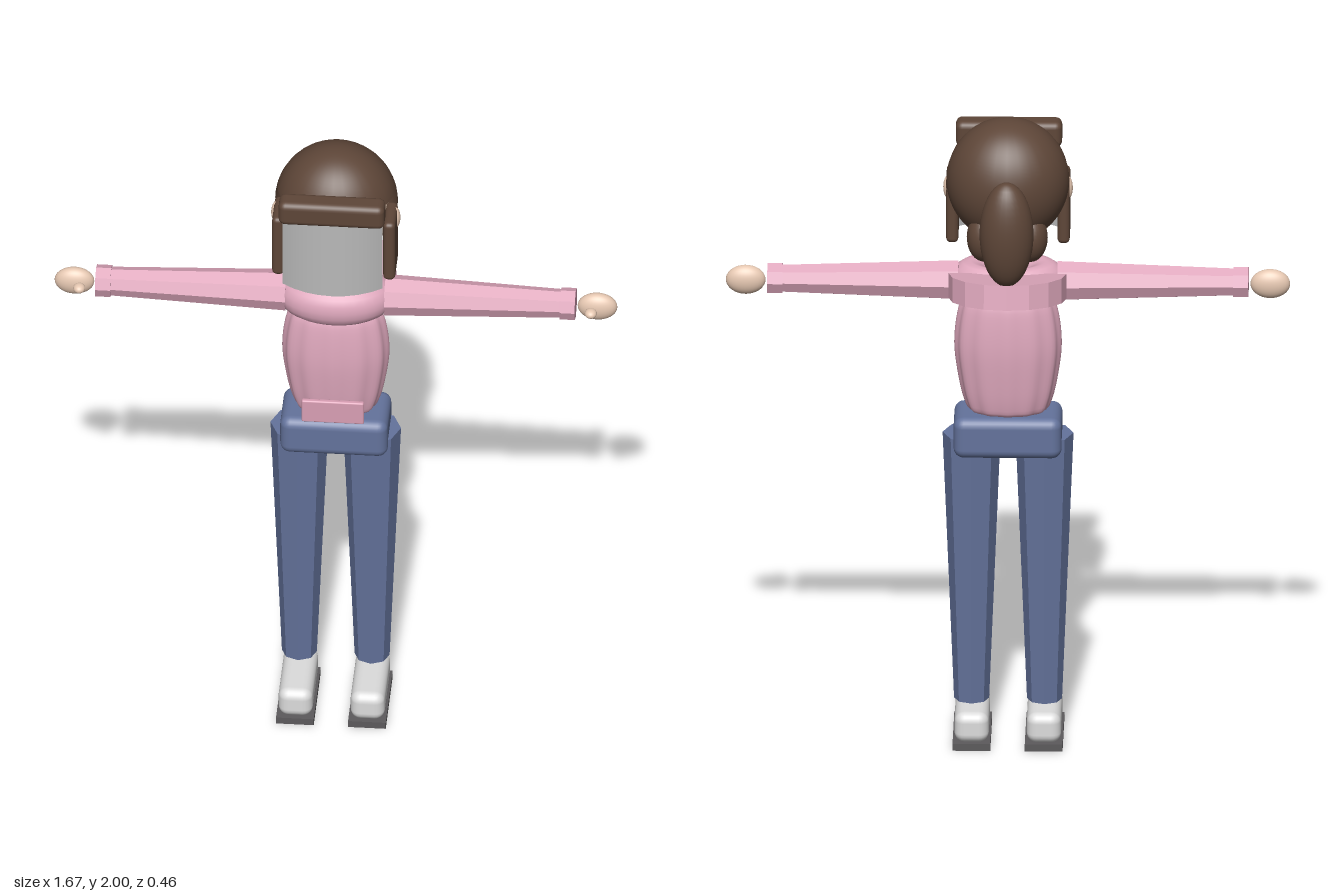
import * as THREE from 'three';
import { RoundedBoxGeometry } from 'three/addons/geometries/RoundedBoxGeometry.js';

export function createModel() {
  const model = new THREE.Group();
  model.name = 'figure';

  const material = (name, color, opts = {}) => {
    const m = new THREE.MeshStandardMaterial({ color, ...opts });
    m.name = name;
    return m;
  };
  const flat = { flatShading: true };
  const twoSided = { side: THREE.DoubleSide };
  const hair = material('brown hair', 0x5e4638, twoSided);
  const skin = material('skin', 0xe6c8b2);
  const grey = material('grey face', 0xb9b9b9, twoSided);
  const knit = material('pink knit', 0xe0a9be);
  const knitFlat = material('pink sleeve', 0xe0a9be, { ...flat, ...twoSided });
  const pocketPink = material('pocket pink', 0xd99fb4);
  const denim = material('denim', 0x64739c);
  const denimFlat = material('denim leg', 0x64739c, flat);
  const shoeWhite = material('shoe white', 0xdcdcdc);
  const soleGrey = material('sole grey', 0x5c5a5c);

  const add = (name, geo, mat, x, y, z) => {
    const mesh = new THREE.Mesh(geo, mat);
    mesh.name = name;
    mesh.position.set(x, y, z);
    model.add(mesh);
    return mesh;
  };
  const ellipsoid = (rx, ry, rz, ...arc) =>
    new THREE.SphereGeometry(1, 28, 20, ...arc).scale(rx, ry, rz);
  const rounded = (w, h, d, r) => new RoundedBoxGeometry(w, h, d, 3, r);

  // Head and neck
  add('head', ellipsoid(0.155, 0.187, 0.152), skin, 0, 1.785, 0.02);
  add('neck', new THREE.CylinderGeometry(0.045, 0.045, 0.16, 16), skin, 0, 1.55, 0.05);

  // Curved face plate
  add('facePlate', new THREE.CylinderGeometry(0.244, 0.244, 0.27, 8, 1, true, -0.652, 1.304),
    grey, 0, 1.735, -0.024);

  // Hair: crown, back, fringe and ponytail
  add('hairCrown', ellipsoid(0.182, 0.19, 0.163, 0, Math.PI * 2, 0, 1.3), hair, 0, 1.81, 0.025);
  add('hairBack', ellipsoid(0.182, 0.19, 0.163, Math.PI, Math.PI, 1.25, 1.07), hair, 0, 1.81, 0.025);
  add('fringe', rounded(0.315, 0.08, 0.07, 0.02), hair, 0, 1.895, 0.19);
  add('ponytail', ellipsoid(0.08, 0.165, 0.065), hair, 0, 1.71, -0.162);

  // Sweater body: oval barrel with soft vertical folds
  const profile = [[0.001, 1.06], [0.1, 1.062], [0.128, 1.1], [0.147, 1.19], [0.156, 1.28],
    [0.148, 1.37], [0.13, 1.425], [0.09, 1.44], [0.001, 1.44]]
    .map(([r, y]) => new THREE.Vector2(r, y));
  const torso = new THREE.LatheGeometry(new THREE.SplineCurve(profile).getPoints(32), 72);
  const pos = torso.attributes.position;
  for (let i = 0; i < pos.count; i++) {
    const k = 1 + 0.022 * Math.cos(12 * Math.atan2(pos.getX(i), pos.getZ(i)));
    pos.setXYZ(i, pos.getX(i) * k, pos.getY(i), pos.getZ(i) * k * 0.585);
  }
  torso.computeVertexNormals();
  add('torso', torso, knit, 0, 0, 0.048);
  add('pocket', rounded(0.185, 0.078, 0.016, 0.005), pocketPink, 0, 1.122, 0.158);

  // Collar roll and hood hanging behind
  add('collar', new THREE.TorusGeometry(0.112, 0.06, 16, 32).rotateX(Math.PI / 2).scale(1, 1, 0.62),
    knit, 0, 1.48, 0.05);
  const hood = add('hood',
    new THREE.CylinderGeometry(0.175, 0.175, 0.075, 8, 1, false, Math.PI / 2, Math.PI),
    knitFlat, 0, 1.488, -0.02);
  hood.rotation.x = 0.17;

  // Hips
  add('hips', rounded(0.32, 0.128, 0.185, 0.03), denim, 0, 1, 0.05);

  // Paired parts
  for (const [side, s] of [['left', 1], ['right', -1]]) {
    const put = (part, geo, mat, x, y, z) => add(side + part, geo, mat, s * x, y, z);
    put('Ear', ellipsoid(0.016, 0.037, 0.02), skin, 0.176, 1.775, 0.05);
    put('SideHair', rounded(0.036, 0.21, 0.12, 0.014), hair, 0.165, 1.71, 0.08);
    put('HairBun', ellipsoid(0.05, 0.075, 0.056), hair, 0.07, 1.66, -0.06);

    // Tapered sleeve, cuff, hand and thumb
    const tube = (outer, inner, length) =>
      new THREE.CylinderGeometry(outer, inner, length, 8).rotateZ(-s * Math.PI / 2);
    put('Sleeve', tube(0.042, 0.062, 0.55), knitFlat, 0.422, 1.48, 0.044);
    put('Cuff', tube(0.048, 0.048, 0.045), knitFlat, 0.69, 1.48, 0.044);
    put('Hand', ellipsoid(0.059, 0.045, 0.029), skin, 0.777, 1.476, 0.043);
    put('Thumb', ellipsoid(0.018, 0.014, 0.02), skin, 0.76, 1.476, 0.08);

    // Leg and shoe
    put('Leg', new THREE.CylinderGeometry(0.086, 0.052, 0.85, 8).scale(1, 1, 0.94),
      denimFlat, 0.108, 0.565, 0.052);
    put('Shoe', rounded(0.102, 0.095, 0.248, 0.03), shoeWhite, 0.107, 0.066, 0.103);
    put('Sole', new THREE.BoxGeometry(0.112, 0.022, 0.255), soleGrey, 0.107, 0.011, 0.103);
  }
  return model;
}
